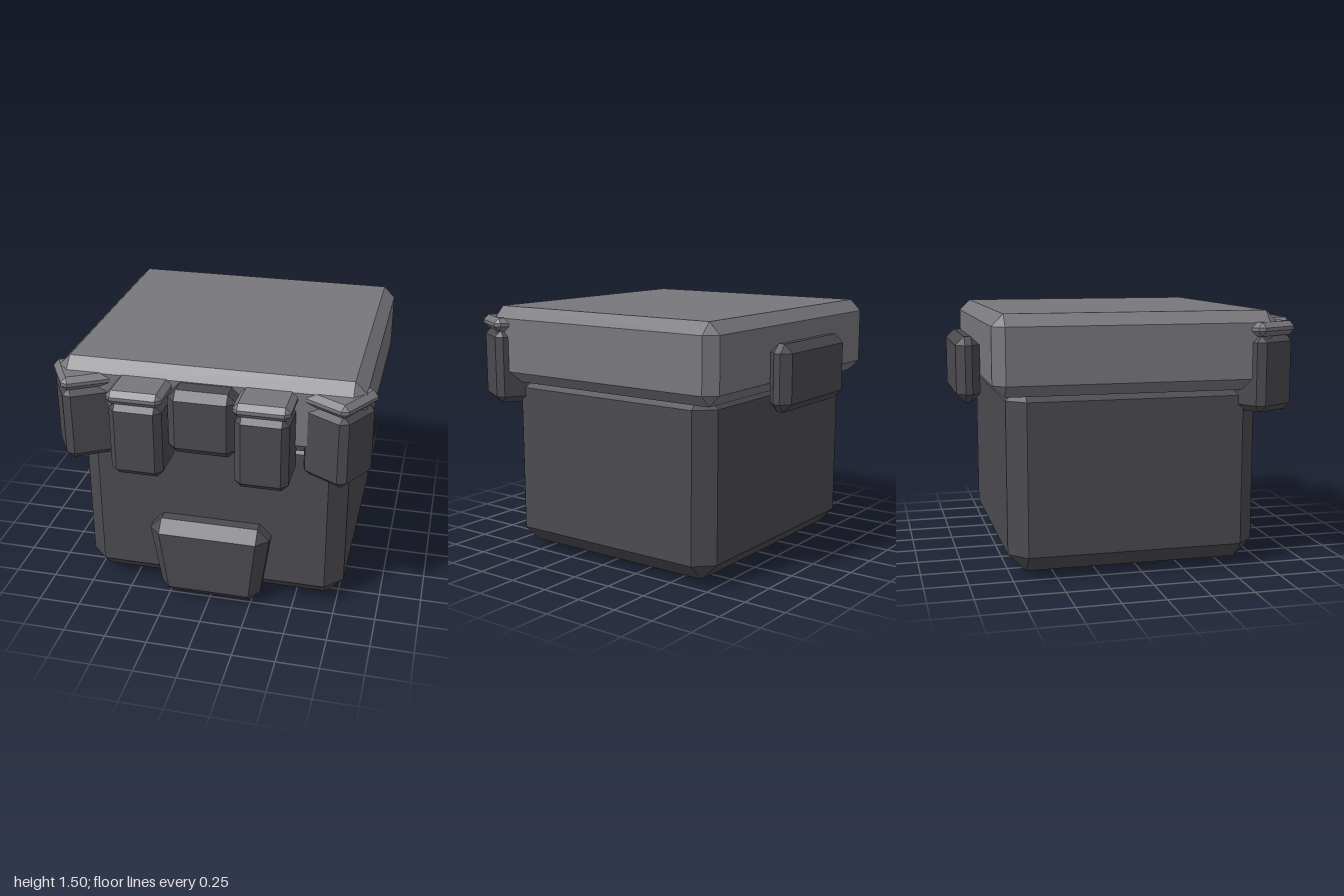
import * as THREE from 'three';
import { ConvexGeometry } from 'three/addons/geometries/ConvexGeometry.js';

const material = (name, color) => {
  const m = new THREE.MeshStandardMaterial({ color });
  m.name = name;
  return m;
};

// Box with flat chamfers of size b on all edges; warp may move each corner
function chamferBox(w, h, d, b, warp) {
  const points = [];
  for (const sx of [-1, 1]) for (const sy of [-1, 1]) for (const sz of [-1, 1]) {
    for (let full = 0; full < 3; full++) {
      const size = [w / 2, h / 2, d / 2].map((s, i) => (i === full ? s : s - b));
      const p = new THREE.Vector3(sx * size[0], sy * size[1], sz * size[2]);
      if (warp) warp(p);
      points.push(p);
    }
  }
  return new ConvexGeometry(points);
}

export function createModel() {
  const dark = material('dark fabric', 0x4b4a4f);
  const grey = material('grey lid', 0x78777c);
  const model = new THREE.Group();
  model.name = 'pouchedCase';

  const add = (name, geometry, mat, x, y, z, parent = model) => {
    const mesh = new THREE.Mesh(geometry, mat);
    mesh.name = name;
    mesh.position.set(x, y, z);
    parent.add(mesh);
    return mesh;
  };

  // Main case and overhanging lid
  add('body', chamferBox(1.57, 1.085, 1.46, 0.103), dark, 0, 0.578, -0.04);
  add('lid', chamferBox(1.738, 0.452, 1.632, 0.067), grey, 0, 1.278, -0.042);

  // Front latch and back plate
  add('latch', chamferBox(0.385, 0.38, 0.25, 0.047), dark, 0, 1.242, 0.79);
  add('backPlate', chamferBox(0.695, 0.385, 0.14, 0.05), dark, 0, 1.153, -0.93);

  // Low front pocket, narrowing and leaning back toward the bottom
  const taper = (p) => {
    const t = 0.1925 - p.y; // distance below the upper chamfer line
    p.x *= 1 - 0.4 * Math.max(t, 0);
    p.z -= 0.05 * t;
  };
  add('frontPocket', chamferBox(0.72, 0.525, 0.22, 0.07, taper), dark, 0, 0.2625, 0.71);

  // Four capped pouches: two facing forward, two turned around the corners
  const pouchGeometry = chamferBox(0.298, 0.435, 0.3, 0.038);
  const capGeometry = chamferBox(0.314, 0.08, 0.312, 0.03);
  for (const side of [-1, 1]) {
    for (const [name, x, z, turn] of [['frontPouch', 0.35, 0.842, 0], ['cornerPouch', 0.725, 0.695, Math.PI / 3]]) {
      const group = new THREE.Group();
      group.name = (side > 0 ? 'left' : 'right') + name[0].toUpperCase() + name.slice(1);
      group.position.set(side * x, 0, z);
      group.rotation.y = side * turn;
      add('pouch', pouchGeometry, dark, 0, 1.147, 0, group);
      add('pouchCap', capGeometry, grey, 0, 1.4, 0, group);
      model.add(group);
    }
  }
  return model;
}
